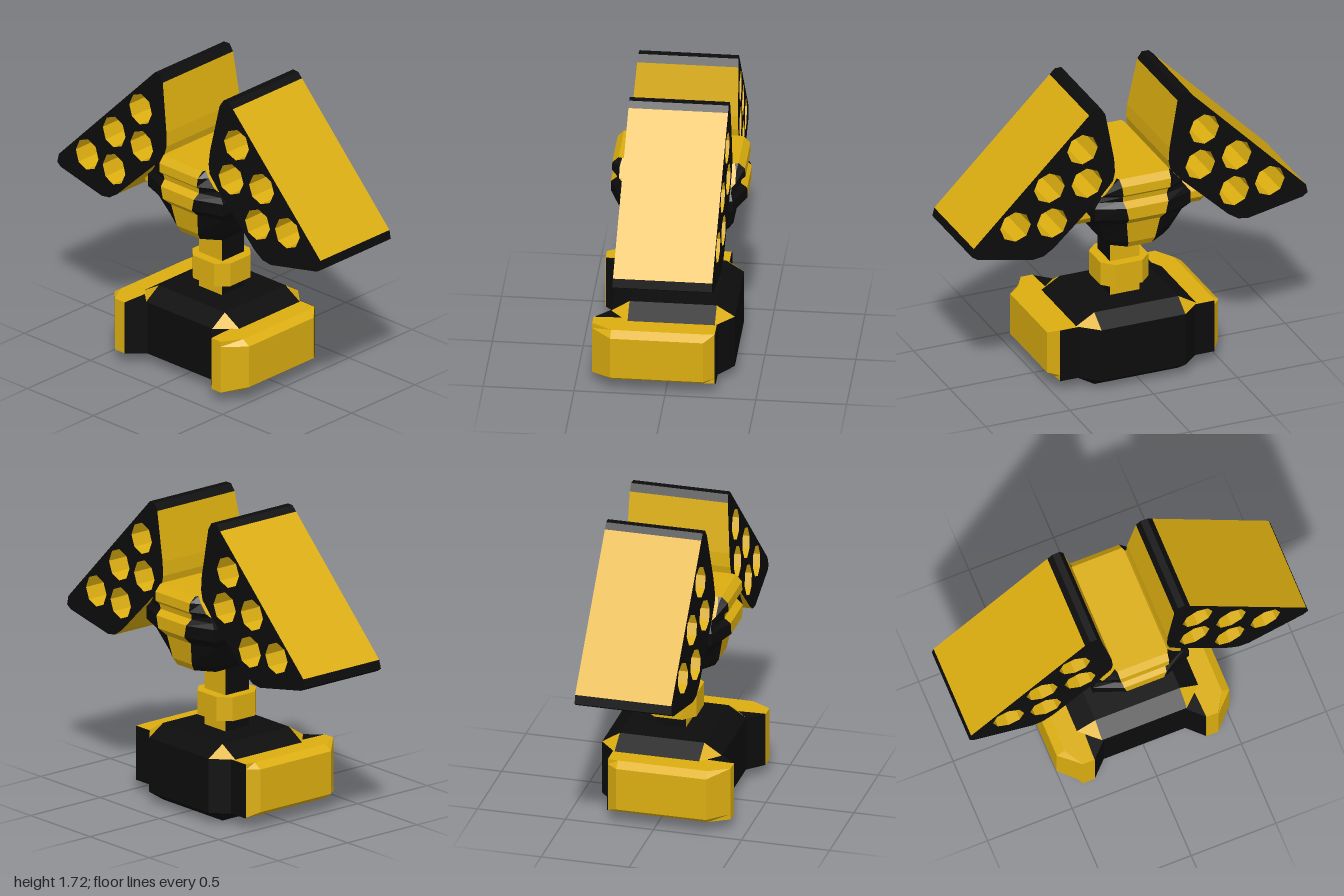
import * as THREE from 'three';

const YELLOW = 0xdcae10, BLACK = 0x0c0c0c;
const materials = {
  [YELLOW]: new THREE.MeshStandardMaterial({ color: YELLOW, flatShading: true }),
  [BLACK]: new THREE.MeshStandardMaterial({ color: BLACK, flatShading: true }),
};

// Collects flat faces by colour and turns them into one mesh per colour
class Faces {
  constructor() { this.data = { [YELLOW]: [], [BLACK]: [] }; }
  tri(color, a, b, c) {
    const area = b.clone().sub(a).cross(c.clone().sub(a)).length();
    if (area > 1e-7) for (const p of [a, b, c]) this.data[color].push(p.x, p.y, p.z);
  }
  quad(color, a, b, c, d) { this.tri(color, a, b, c); this.tri(color, a, c, d); }
  build(name) {
    const group = new THREE.Group();
    group.name = name;
    for (const [color, list] of Object.entries(this.data)) {
      if (!list.length) continue;
      const geometry = new THREE.BufferGeometry();
      geometry.setAttribute('position', new THREE.Float32BufferAttribute(list, 3));
      geometry.computeVertexNormals();
      const mesh = new THREE.Mesh(geometry, materials[color]);
      mesh.name = name + (Number(color) === BLACK ? 'Dark' : 'Yellow');
      group.add(mesh);
    }
    return group;
  }
}

// Octagonal plan: w = half width of the front face, Z its depth, X/Zs the side faces
const ring = (y, w, X, Z, Zs, cz = 0) =>
  [[w, Z], [X, Zs], [X, -Zs], [w, -Z], [-w, -Z], [-X, -Zs], [-X, Zs], [-w, Z]]
    .map(([x, z]) => new THREE.Vector3(x, y, z + cz));

// Stack of horizontal rings, closed top and bottom; colour picked per level and side
function loft(name, rings, colorOf, topColor = BLACK, bottomColor = BLACK) {
  const f = new Faces(), n = rings[0].length, top = rings[rings.length - 1];
  for (let l = 0; l < rings.length - 1; l++)
    for (let i = 0; i < n; i++) {
      const j = (i + 1) % n;
      f.quad(colorOf(l, i), rings[l][i], rings[l][j], rings[l + 1][j], rings[l + 1][i]);
    }
  for (let i = 1; i < n - 1; i++) {
    f.tri(topColor, top[0], top[i], top[i + 1]);
    f.tri(bottomColor, rings[0][0], rings[0][i + 1], rings[0][i]);
  }
  return f.build(name);
}

const isSide = i => i === 1 || i === 5;
const isFrontOrBack = i => i === 3 || i === 7;

// Plan outline given for the left side, mirrored when s = -1
function plan(points, y, s, maxX = 9) {
  const list = points.map(([x, z]) => new THREE.Vector3(Math.min(x, maxX) * s, y, z));
  return s < 0 ? list.reverse() : list;
}

// Triangular pod pierced by five octagonal tubes, with slightly splayed end faces
function pod(name, s) {
  const outline = [[0.64, 0.87], [0.97, 0.93], [1, 0.95], [0.99, 1.0], [0.31, 1.69], [0.28, 1.72], [0.24, 1.72],
    [0.215, 1.68], [0.165, 1.4], [0.16, 1.32], [0.175, 1.25], [0.52, 0.92], [0.58, 0.88]];
  const darkWalls = [1, 2, 4, 5, 6];
  const centres = [[0.35, 1.49], [0.545, 1.29], [0.325, 1.28], [0.745, 1.09], [0.53, 1.075]];
  const front = (x, y) => 0.36 - 0.05 * Math.abs(x) - 0.074 * y;
  const back = (x, y) => -0.354 + 0.036 * Math.abs(x) + 0.0086 * y;
  const at = (p, depth) => new THREE.Vector3(p.x, p.y, depth(p.x, p.y));
  const f = new Faces();
  const wall = (color, p, q) => f.quad(color, at(p, back), at(q, back), at(q, front), at(p, front));

  const rim = outline.map(([x, y]) => new THREE.Vector2(x * s, y));
  rim.forEach((p, i) => {
    const q = rim[(i + 1) % rim.length];
    const color = darkWalls.includes(i) ? BLACK : YELLOW;
    if (s > 0) wall(color, p, q); else wall(color, q, p);
  });

  const shape = new THREE.Shape(rim);
  for (const [cx, cy] of centres) {
    const x = s > 0 ? cx : -cx - 0.026, y = s > 0 ? cy : cy - 0.02;
    const hole = [];
    for (let k = 0; k < 8; k++) {
      const a = -k * Math.PI / 4;
      hole.push(new THREE.Vector2(x + 0.09 * Math.cos(a), y + 0.09 * Math.sin(a)));
    }
    hole.forEach((p, k) => wall(YELLOW, p, hole[(k + 1) % 8]));
    shape.holes.push(new THREE.Path(hole));
  }

  // Pierced end plates
  const cap = new THREE.ShapeGeometry(shape).toNonIndexed().getAttribute('position');
  for (let i = 0; i < cap.count; i += 3) {
    const [a, b, c] = [0, 1, 2].map(k => new THREE.Vector3().fromBufferAttribute(cap, i + k));
    f.tri(BLACK, at(a, front), at(b, front), at(c, front));
    f.tri(BLACK, at(c, back), at(b, back), at(a, back));
  }
  return f.build(name);
}

export function createModel() {
  const model = new THREE.Group();
  model.name = 'podTurret';

  // Bevelled foot with yellow corner facets on its upper edge
  model.add(loft('base', [
    ring(0, 0.25, 0.25, 0.24, 0.24, -0.02),
    ring(0.065, 0.25, 0.36, 0.34, 0.24, -0.02),
    ring(0.375, 0.25, 0.36, 0.34, 0.24, -0.02),
    ring(0.44, 0.25, 0.25, 0.24, 0.24, -0.02),
  ], (l, i) => (l === 2 && i % 2 === 0 ? YELLOW : BLACK)));

  // Side blocks of the foot and the dark wedges holding them
  const blockPlan = [[0.33, 0.41], [0.4, 0.41], [0.51, 0.3], [0.51, -0.21], [0.46, -0.27], [0.3, -0.27], [0.33, 0.38]];
  const wedgePlan = [[0.24, 0.32], [0.329, 0.408], [0.46, -0.276], [0.24, -0.276]];
  for (const s of [1, -1]) {
    const side = s > 0 ? 'left' : 'right';
    model.add(loft(side + 'BaseBlock', [
      plan(blockPlan, 0.068, s, 0.465), plan(blockPlan, 0.1, s),
      plan(blockPlan, 0.345, s), plan(blockPlan, 0.376, s, 0.465),
    ], () => YELLOW, YELLOW, YELLOW));
    model.add(loft(side + 'BaseWedge', [plan(wedgePlan, 0.066, s), plan(wedgePlan, 0.374, s)], () => BLACK));
  }

  // Neck and its collar
  model.add(loft('neck', [0.42, 0.85].map(y => ring(y, 0.088, 0.088, 0.086, 0.086, -0.015)),
    (l, i) => (isSide(i) ? BLACK : YELLOW)));
  model.add(loft('collar', [0.51, 0.647].map(y => ring(y, 0.08, 0.143, 0.143, 0.08, -0.015)),
    () => YELLOW, YELLOW, YELLOW));

  // Grooved head: tapered octagon with yellow front, back and upper sides
  const levels = [
    [0.83, 0.07, 0.17, 0.27, 0.2], [0.87, 0.08, 0.195, 0.295, 0.22], [1.0, 0.1, 0.25, 0.32, 0.27],
    [1.05, 0.11, 0.285, 0.375, 0.31], [1.12, 0.125, 0.285, 0.375, 0.31], [1.15, 0.13, 0.26, 0.34, 0.3],
    [1.18, 0.135, 0.24, 0.345, 0.3], [1.2, 0.14, 0.23, 0.368, 0.32], [1.25, 0.145, 0.185, 0.365, 0.32],
    [1.285, 0.148, 0.155, 0.33, 0.31],
  ];
  model.add(loft('head', levels.map(l => ring(...l, -0.04)),
    (l, i) => (isFrontOrBack(i) || (isSide(i) && l >= 6) ? YELLOW : BLACK), YELLOW));

  // Arms and pods on both sides
  for (const s of [1, -1]) {
    const side = s > 0 ? 'left' : 'right';
    const arm = loft(side + 'Arm', [0.15, 0.43].map(y => ring(y, 0.02, 0.07, 0.17, 0.12, -0.03)),
      () => YELLOW, YELLOW, YELLOW);
    arm.rotation.z = -s * Math.PI / 2;
    arm.position.y = 1.01;
    model.add(arm, pod(side + 'Pod', s));
  }
  return model;
}
